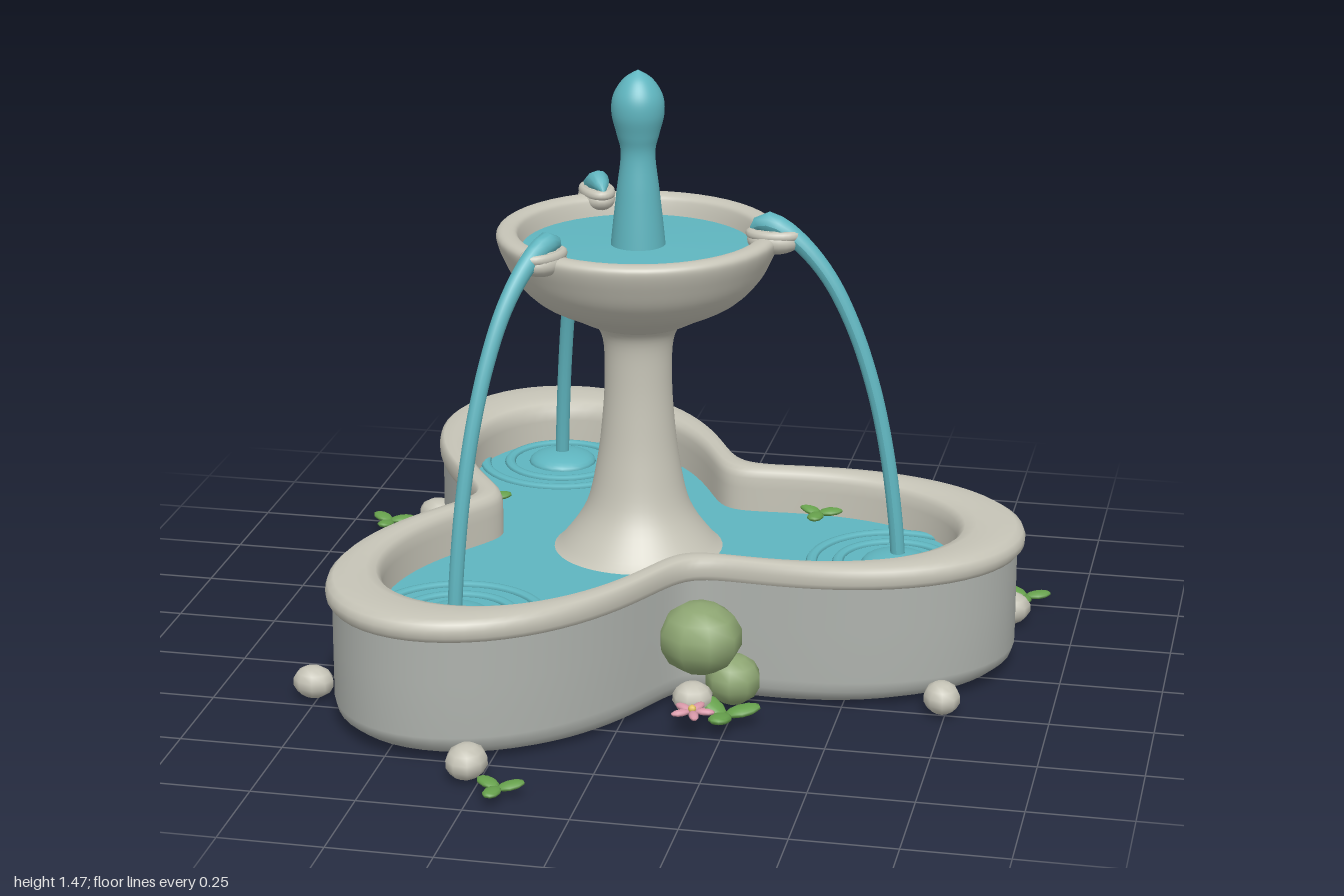
import * as THREE from 'three';

const mat = (color) => new THREE.MeshStandardMaterial({ color, side: THREE.DoubleSide });
const rad = THREE.MathUtils.degToRad;

// Three-lobed outline of the basin
const lobe = (t) => 0.69 + 0.27 * Math.cos(3 * t);

// Skin through scaled copies of the lobed outline; rows are [scale, height]
function lobedLoft(rows, n = 144) {
  const pos = [], idx = [];
  rows.forEach(([s, y], i) => {
    for (let j = 0; j < n; j++) {
      const t = (j / n) * Math.PI * 2, r = lobe(t) * s;
      pos.push(r * Math.cos(t), y, r * Math.sin(t));
      if (i === rows.length - 1) continue;
      const a = i * n + j, b = i * n + (j + 1) % n;
      idx.push(a, a + n, b, b, a + n, b + n);
    }
  });
  const g = new THREE.BufferGeometry();
  g.setAttribute('position', new THREE.Float32BufferAttribute(pos, 3));
  g.setIndex(idx);
  g.computeVertexNormals();
  return g;
}

const lathe = (pts, smooth = 0) => {
  let p = pts.map(([x, y]) => new THREE.Vector2(x, y));
  if (smooth) p = new THREE.SplineCurve(p).getPoints(smooth).map((v) => v.setX(Math.max(v.x, 0)));
  return new THREE.LatheGeometry(p, 48);
};

// Tube whose radius follows a rule along its length
function taperedTube(points, radiusAt, seg = 40) {
  const curve = new THREE.CatmullRomCurve3(points);
  const g = new THREE.TubeGeometry(curve, seg, 1, 12);
  const p = g.attributes.position, v = new THREE.Vector3();
  for (let i = 0; i < p.count; i++) {
    const u = Math.floor(i / 13) / seg, c = curve.getPointAt(u);
    v.fromBufferAttribute(p, i).sub(c).multiplyScalar(radiusAt(u)).add(c);
    p.setXYZ(i, v.x, v.y, v.z);
  }
  g.computeVertexNormals();
  return g;
}

export function createModel() {
  const model = new THREE.Group();
  const wall = mat(0xaeb2ad), stone = mat(0xc6c4b7), water = mat(0x5fb5bf);
  const moss = mat(0x8da572), leafGreen = mat(0x66a04c), pink = mat(0xd898a8), yellow = mat(0xe0c060);

  const add = (parent, name, geometry, material, x = 0, y = 0, z = 0) => {
    const m = new THREE.Mesh(geometry, material);
    m.name = name;
    m.position.set(x, y, z);
    parent.add(m);
    return m;
  };
  const ball = new THREE.SphereGeometry(1, 20, 14);
  const pebble = new THREE.SphereGeometry(1, 9, 7);

  const fountain = new THREE.Group();
  fountain.name = 'fountain';
  fountain.position.set(-0.07, 0, -0.085);
  model.add(fountain);

  // Basin
  add(fountain, 'basinWall', lobedLoft([[0, 0], [0.8, 0], [0.9, 0.006], [0.95, 0.02], [0.977, 0.04],
    [0.985, 0.065], [0.985, 0.2], [0.985, 0.32]]), wall);
  add(fountain, 'basinRim', lobedLoft([[0.975, 0.305], [0.993, 0.308], [1.003, 0.32], [1.005, 0.337],
    [0.998, 0.353], [0.98, 0.362], [0.93, 0.364], [0.88, 0.362], [0.85, 0.354], [0.835, 0.338],
    [0.832, 0.31], [0.832, 0.2]]), stone);
  add(fountain, 'basinWater', lobedLoft([[0.85, 0.25], [0.5, 0.25], [0, 0.25]]), water);

  // Column and upper bowl
  add(fountain, 'column', lathe([[0.23, 0.235], [0.19, 0.27], [0.13, 0.36], [0.102, 0.48], [0.088, 0.6],
    [0.083, 0.7], [0.087, 0.79], [0.11, 0.835], [0.16, 0.87]], 40), stone);
  add(fountain, 'bowl', lathe([[0, 0.83], [0.1, 0.832], [0.18, 0.868], [0.25, 0.905], [0.3, 0.955], [0.33, 1.01],
    [0.345, 1.05], [0.342, 1.068], [0.325, 1.075], [0.3, 1.07], [0.29, 1.05], [0.28, 1.0]], 60), stone);
  add(fountain, 'bowlWater', lathe([[0.292, 1.025], [0.15, 1.032], [0, 1.035]]), water);
  add(fountain, 'plume', lathe([[0.068, 1.02], [0.062, 1.08], [0.052, 1.17], [0.042, 1.26], [0.052, 1.31],
    [0.064, 1.36], [0.06, 1.405], [0.035, 1.445], [0, 1.468]], 48), water);

  // Three-leaf sprig
  const sprig = (name, size, lift = 0.35) => {
    const g = new THREE.Group();
    g.name = name;
    for (let i = 0; i < 3; i++) {
      const arm = new THREE.Group();
      arm.rotation.y = i * 2.1 + 0.4;
      const leaf = add(arm, 'leaf', pebble, leafGreen, size * 0.95, 0, 0);
      leaf.scale.set(size, size * 0.28, size * 0.6);
      leaf.rotation.z = lift * (i === 1 ? 0.5 : 0.2);
      g.add(arm);
    }
    return g;
  };

  // Five-petal flower
  const flower = () => {
    const g = new THREE.Group();
    g.name = 'flower';
    for (let i = 0; i < 5; i++) {
      const a = (i / 5) * Math.PI * 2;
      const petal = add(g, 'petal', pebble, pink, 0.03 * Math.cos(a), 0, 0.03 * Math.sin(a));
      petal.scale.set(0.025, 0.008, 0.012);
      petal.rotation.y = -a;
    }
    add(g, 'flowerCentre', pebble, yellow, 0, 0.005, 0).scale.setScalar(0.01);
    return g;
  };

  // Everything repeated on each of the three lobes
  const stream = taperedTube([[0.275, 1.085], [0.31, 1.105], [0.35, 1.095], [0.41, 1.05], [0.475, 0.97],
    [0.535, 0.85], [0.585, 0.7], [0.622, 0.53], [0.645, 0.36], [0.655, 0.24]]
    .map(([x, y]) => new THREE.Vector3(x, y, 0)),
    (u) => 0.018 + 0.014 * Math.exp(-u * 7) - 0.03 * Math.max(0, 0.04 - u) / 0.04);

  for (let k = 0; k < 3; k++) {
    const arm = new THREE.Group();
    arm.name = 'lobe' + (k + 1);
    arm.rotation.y = -rad(120 * k);
    fountain.add(arm);
    const polar = (deg, r) => [r * Math.cos(rad(deg)), r * Math.sin(rad(deg))];
    const place = (obj, deg, r, y) => {
      const [x, z] = polar(deg, r);
      obj.position.set(x, y, z);
      arm.add(obj);
      return obj;
    };
    const blob = (name, m, deg, r, y, sx, sy, sz, turn = 0) => {
      const [x, z] = polar(deg, r);
      const b = add(arm, name, pebble, m, x, y, z);
      b.scale.set(sx, sy, sz);
      b.rotation.y = turn;
    };

    // Spout and falling water
    add(arm, 'spout', ball, stone, 0.335, 1.062, 0).scale.set(0.066, 0.034, 0.046);
    const lip = add(arm, 'spoutLip', new THREE.TorusGeometry(0.045, 0.013, 10, 28), stone, 0.335, 1.078, 0);
    lip.rotation.x = Math.PI / 2;
    lip.scale.set(1.2, 0.75, 1);
    add(arm, 'stream', stream, water);

    // Splash and ripples
    add(arm, 'splash', ball, water, 0.65, 0.25, 0).scale.set(0.088, 0.03, 0.088);
    for (const r of [0.14, 0.205]) {
      const ring = add(arm, 'ripple', new THREE.TorusGeometry(r, 0.014, 8, 48), water, 0.645, 0.252, 0);
      ring.rotation.x = Math.PI / 2;
      ring.scale.z = 0.6;
    }

    // Stones around the foot
    blob('rock', stone, -17, 0.94, 0.044, 0.06, 0.042, 0.05, 0.5);
    blob('rock', stone, 22, 0.875, 0.044, 0.045, 0.04, 0.052, 0.3);
    blob('rock', stone, 64, 0.53, 0.055, 0.05, 0.04, 0.05, 0.8);

    // Bushes in the hollow between lobes
    blob('bush', moss, 60, 0.475, 0.185, 0.103, 0.088, 0.105, 0.6);
    blob('bush', moss, 51, 0.5, 0.075, 0.068, 0.062, 0.07, 0.2);

    // Leaves and flower
    place(sprig('outerSprig', 0.034), -23.4, 1.015, 0.03);
    place(sprig('bushSprig', 0.045, 0.9), 58, 0.6, 0.04);
    place(sprig('floatingLeaves', 0.034), -34, 0.495, 0.265);
    place(flower(), 66.5, 0.63, 0.066);
  }
  return model;
}
